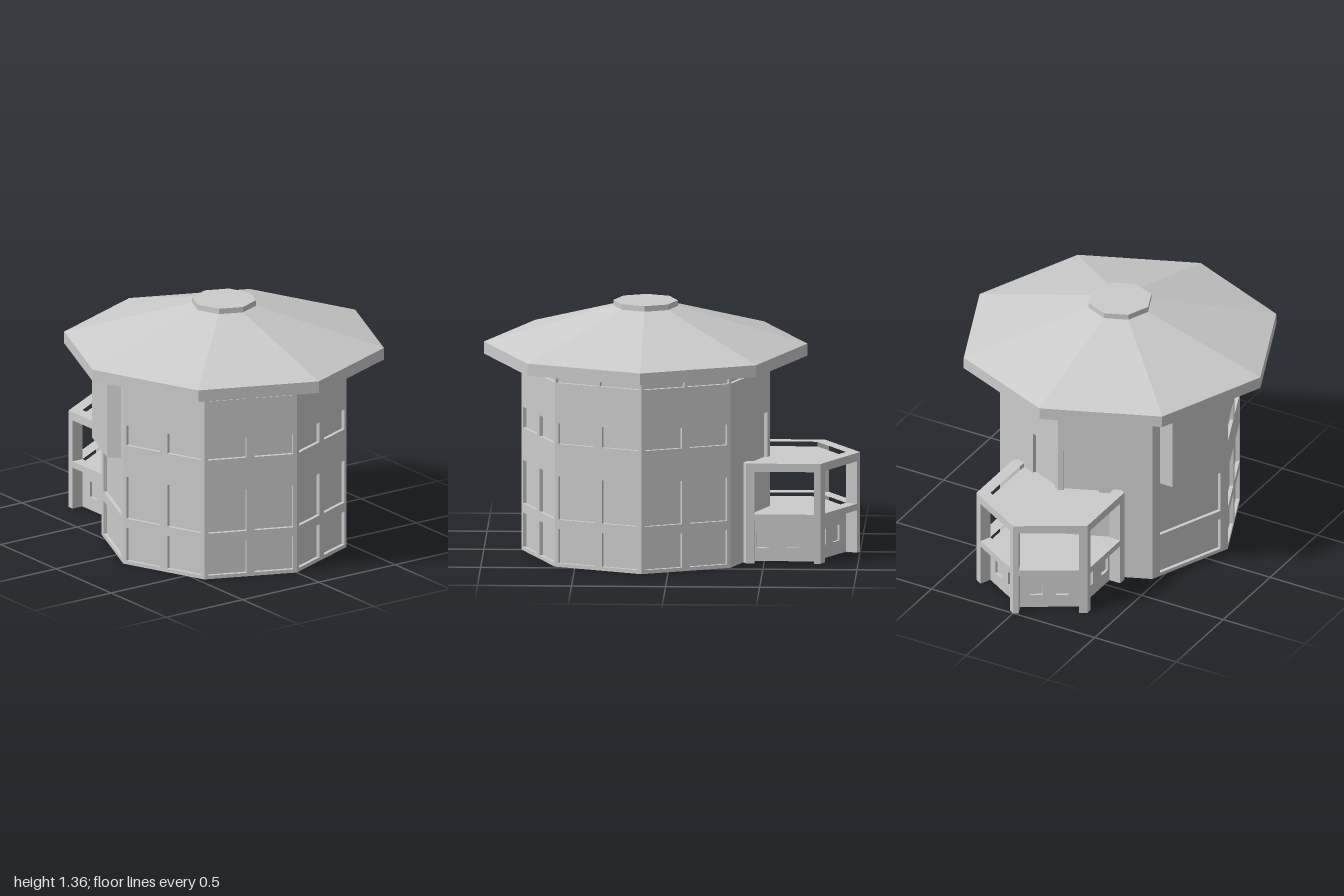
import * as THREE from 'three';

const mat = new THREE.MeshStandardMaterial({ color: 0xcccccc, flatShading: true });

function add(parent, geo, name) {
  const m = new THREE.Mesh(geo, mat);
  m.name = name;
  parent.add(m);
  return m;
}

const toShape = (pts) => new THREE.Shape(pts.map(([x, y]) => new THREE.Vector2(x, y)));

// Upright prism from a plan outline of [x, z] points, with an optional hole
function prism(pts, y0, y1, hole) {
  const shape = toShape(pts);
  if (hole) shape.holes.push(toShape(hole));
  const geo = new THREE.ExtrudeGeometry(shape, { depth: y1 - y0, bevelEnabled: false });
  return geo.rotateX(Math.PI / 2).translate(0, y1, 0);
}

// Wall from a to b (left to right seen from outside), pierced by [x0, y0, x1, y1] openings
function wallPanel(parent, a, b, height, depth, openings, name) {
  const [dx, dz] = [b[0] - a[0], b[1] - a[1]];
  const L = Math.hypot(dx, dz);
  const shape = toShape([[0, 0], [L, 0], [L, height], [0, height]]);
  for (const [x0, y0, x1, y1] of openings) {
    shape.holes.push(toShape([[x0, y0], [x1, y0], [x1, y1], [x0, y1]]));
  }
  const geo = new THREE.ExtrudeGeometry(shape, { depth, bevelEnabled: false }).translate(0, 0, -depth);
  const m = add(parent, geo, name);
  m.position.set(a[0], 0, a[1]);
  m.rotation.y = Math.atan2(-dz, dx);
  return m;
}

// Eight-sided tower
const CX = 0.14, R = 0.66, H = 1.06, RECESS = 0.02;
const SIDE = 2 * R * Math.sin(Math.PI / 8);
const corner = (i) => [CX + R * Math.cos(i * Math.PI / 4), R * Math.sin(i * Math.PI / 4)];

// Two openings side by side
const pair = (w, y0, y1) => [-0.127, 0.127].map((c) => [SIDE / 2 + c - w / 2, y0, SIDE / 2 + c + w / 2, y1]);

function createTower() {
  const tower = new THREE.Group();
  tower.name = 'tower';
  const coreR = R - RECESS / Math.cos(Math.PI / 8);
  add(tower, new THREE.CylinderGeometry(coreR, coreR, H, 8).translate(CX, H / 2, 0), 'towerCore');

  const topRow = pair(0.235, 0.995, 1.055);
  const standard = [...pair(0.21, 0.02, 0.205), ...pair(0.21, 0.255, 0.49), ...pair(0.21, 0.665, 0.777), ...topRow];
  const wide = [[0.02, 0.205], [0.255, 0.49]].map(([y0, y1]) => [0.05, y0, SIDE - 0.05, y1]);
  const doorA = [[0.03, 0.5, 0.22, 0.76], ...topRow];
  const doorB = [[SIDE - 0.22, 0.5, SIDE - 0.03, 0.76], ...topRow];
  const layouts = { 2: wide, 3: doorA, 4: doorB };

  for (let i = 0; i < 8; i++) {
    const wall = wallPanel(tower, corner(i + 1), corner(i), H, RECESS, layouts[i] || standard, 'towerWall');
    if (i === 2) {
      // Projecting bay with splayed sides
      const half = [[0.2025, -0.015], [0.2025, 0], [0.1735, 0.07]];
      const pts = [...half, ...half.map(([x, z]) => [-x, z]).reverse()];
      add(wall, prism(pts, 0.575, 1.0).translate(SIDE / 2, 0, 0), 'bay');
    }
  }
  return tower;
}

function createRoof() {
  const roof = new THREE.Group();
  roof.name = 'roof';
  const tiers = [
    ['eaves', 0.86, 0.86, 1.06, 1.125],
    ['roofSlope', 0.172, 0.86, 1.125, 1.325],
    ['roofCap', 0.172, 0.172, 1.325, 1.355],
  ];
  for (const [name, top, bottom, y0, y1] of tiers) {
    add(roof, new THREE.CylinderGeometry(top, bottom, y1 - y0, 8).translate(CX, (y0 + y1) / 2, 0), name);
  }
  return roof;
}

// Mirror half a plan outline across z = 0
const mirrored = (half) => [...half, ...half.map(([x, z]) => [x, -z]).reverse()];

// Pointed porch plan, moved inward by d
function inner(d) {
  const half = [[-0.8 + 0.57 * d, 0.34 - d], [-0.39, 0.34 - d]];
  return [[-1 + 1.16 * d, 0], ...mirrored(half)];
}

function createPorch() {
  const porch = new THREE.Group();
  porch.name = 'porch';
  const T = 0.065, PANEL = 0.015;
  const outer = [[-1, 0], ...mirrored([[-0.8, 0.34], [-0.405, 0.34], [-0.36, 0.25]])];

  // Beams, floor and sunken flat roof
  add(porch, prism(outer, 0.495, 0.54, inner(T)), 'topBeam');
  add(porch, prism(inner(T), 0.495, 0.515), 'porchRoof');
  add(porch, prism(outer, 0.23, 0.265, inner(T)), 'floorBeam');
  add(porch, prism(inner(T), 0.225, 0.245), 'porchFloor');

  // Ground storey set back behind the posts
  add(porch, prism(inner(T + PANEL), 0, 0.23), 'groundCore');
  const [tip, a, b, c, d] = inner(T);
  for (const [p, q] of [[tip, a], [a, b], [c, d], [d, tip]]) {
    const L = Math.hypot(q[0] - p[0], q[1] - p[1]);
    const windows = [0.27, 0.7].map((f) => [f * L - 0.034, 0.072, f * L + 0.034, 0.158]);
    wallPanel(porch, p, q, 0.23, PANEL, windows, 'groundWall');
  }

  // Posts: one at the tip, mirrored pairs at the corners and against the tower
  add(porch, prism([[-1, 0], [-0.985, 0.026], tip, [-0.985, -0.026]], 0, 0.54), 'tipPost');
  for (const s of [1, -1]) {
    const side = (pts) => pts.map(([x, z]) => [x, z * s]);
    add(porch, prism(side([[-0.8, 0.34], [-0.765, 0.34], [-0.763, 0.275], [-0.823, 0.301]]), 0, 0.54), 'cornerPost');
    add(porch, prism(side([[-0.45, 0.34], [-0.405, 0.34], [-0.37, 0.27], [-0.45, 0.275]]), 0, 0.54), 'wallPost');
  }
  return porch;
}

export function createModel() {
  const model = new THREE.Group();
  model.name = 'octagonalBuilding';
  model.add(createTower(), createRoof(), createPorch());
  return model;
}
